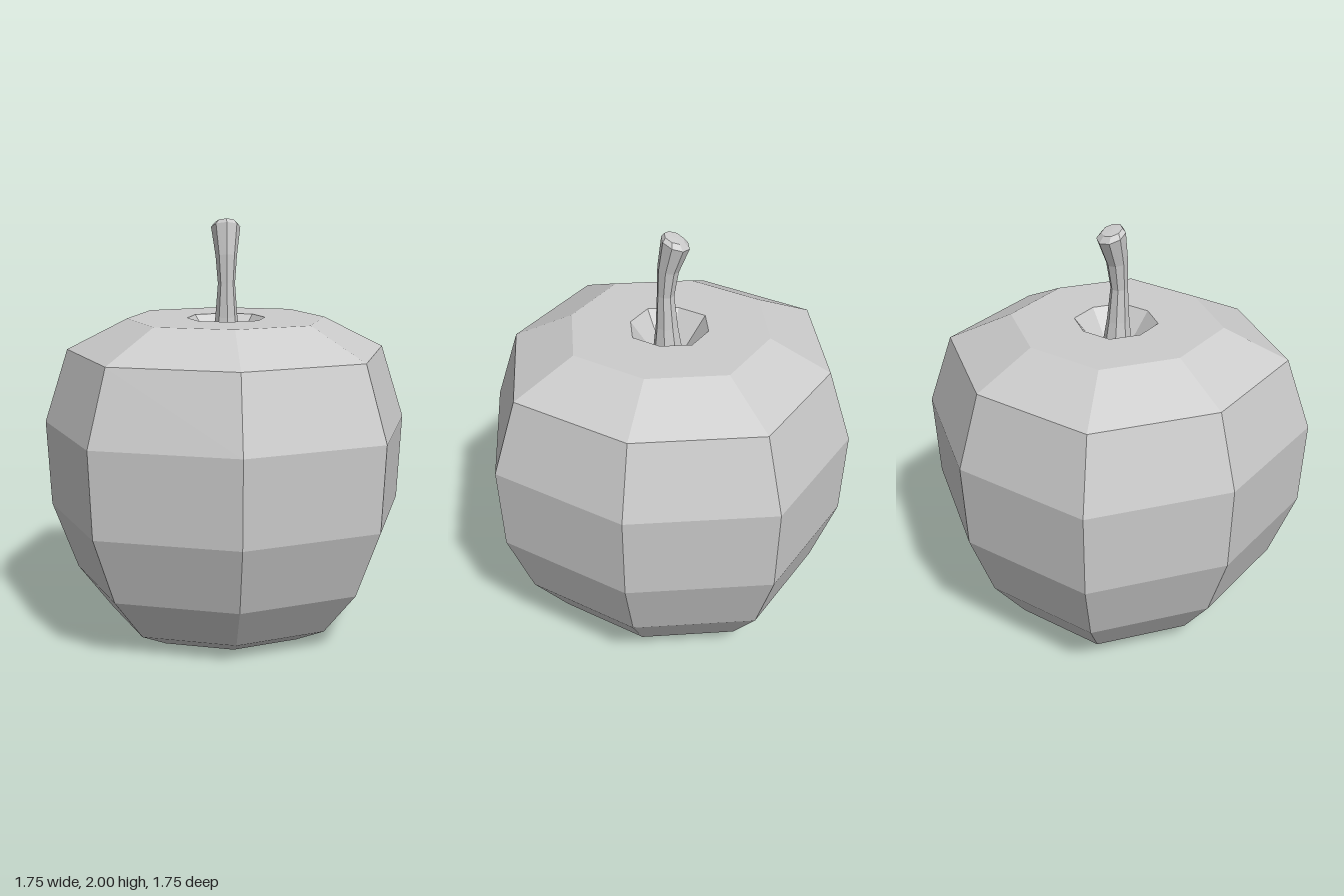
import * as THREE from 'three';

const material = new THREE.MeshStandardMaterial({ color: 0xcccccc, flatShading: true });

// Eight-sided faceted lathe whose vertices are then moved by a rule
function facetedLathe(name, profile, move) {
  const geometry = new THREE.LatheGeometry(profile.map(([r, y]) => new THREE.Vector2(r, y)), 8);
  const pos = geometry.attributes.position;
  const v = new THREE.Vector3();
  for (let i = 0; i < pos.count; i++) {
    v.fromBufferAttribute(pos, i);
    move(v, i % profile.length);
    pos.setXYZ(i, v.x, v.y, v.z);
  }
  const flat = geometry.toNonIndexed();
  flat.computeVertexNormals();
  const mesh = new THREE.Mesh(flat, material);
  mesh.name = name;
  return mesh;
}

export function createModel() {
  const model = new THREE.Group();
  model.name = 'apple';

  // Fruit body: underside hollow, round sides, flat top and stem dimple
  const body = [
    [0, 0.19], [0.13, 0.16], [0.3, 0.05], [0.42, 0], [0.57, 0.08], [0.735, 0.295], [0.855, 0.62],
    [0.875, 1.03], [0.763, 1.38], [0.475, 1.525], [0.187, 1.525], [0.08, 1.38], [0, 1.35],
  ];
  model.add(facetedLathe('fruitBody', body, (v) => {
    // diagonal corners bulge a little, making the plan squarish
    if (Math.abs(v.x * v.z) > 1e-4) {
      v.x *= 1.062;
      v.z *= 1.062;
    }
  }));

  // Stem sections: radius, centre height, centre z, backward tilt
  const sections = [
    [0, 1.34, 0.005, 0], [0.078, 1.35, 0.005, 0], [0.053, 1.53, 0.012, 0], [0.041, 1.69, 0.018, 0.05],
    [0.051, 1.82, 0.006, 0.17], [0.07, 1.955, -0.028, 0.36], [0.05, 1.978, -0.023, 0.36], [0, 1.98, -0.023, 0],
  ];
  model.add(facetedLathe('stem', sections, (v, row) => {
    const [, y, z, tilt] = sections[row];
    v.y = y + v.z * Math.sin(tilt);
    v.z = z + v.z * Math.cos(tilt);
  }));

  return model;
}
